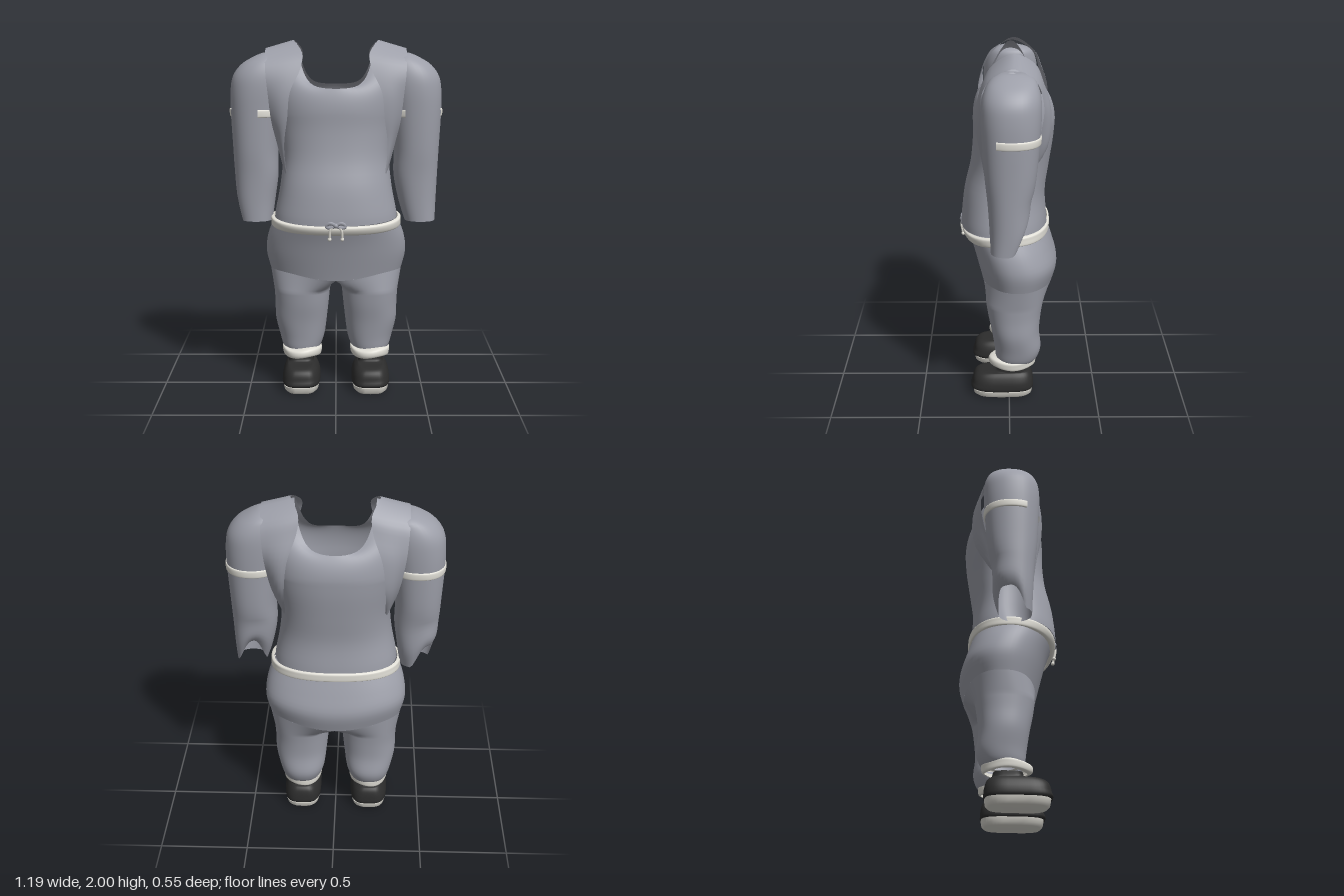
import * as THREE from 'three';

const mat = (name, color) => Object.assign(
  new THREE.MeshStandardMaterial({ color, side: THREE.DoubleSide }), { name });

// Smooth surface from a point rule; u runs around, v runs upward
function surface(fn, nu, nv, closed = true) {
  const pos = [], idx = [], cols = closed ? nu : nu + 1;
  for (let j = 0; j <= nv; j++)
    for (let i = 0; i < cols; i++) pos.push(...fn(i / nu, j / nv));
  for (let j = 0; j < nv; j++)
    for (let i = 0; i < nu; i++) {
      const k = (i + 1) % cols;
      const a = j * cols + i, b = j * cols + k, c = a + cols, d = b + cols;
      idx.push(a, b, d, a, d, c);
    }
  const g = new THREE.BufferGeometry();
  g.setAttribute('position', new THREE.Float32BufferAttribute(pos, 3));
  g.setIndex(idx);
  g.computeVertexNormals();
  return g;
}

// Smooth blend through a list of number rows
function along(rows, t) {
  const f = t * (rows.length - 1), i = Math.min(Math.floor(f), rows.length - 2), w = f - i;
  const at = k => rows[Math.max(0, Math.min(rows.length - 1, k))];
  return rows[0].map((_, c) => {
    const [a, b, d, e] = [at(i - 1)[c], at(i)[c], at(i + 1)[c], at(i + 2)[c]];
    return b + 0.5 * w * (d - a + w * (2 * a - 5 * b + 4 * d - e + w * (3 * (b - d) + e - a)));
  });
}

// Point on a rounded cross-section [y, xMin, xMax, zBack, zFront]; angle 0 is the front
function ringPoint([y, x0, x1, zb, zf], a, n = 2) {
  const round = v => Math.sign(v) * Math.abs(v) ** (2 / n);
  return [(x0 + x1) / 2 + (x1 - x0) / 2 * round(Math.sin(a)), y,
    (zb + zf) / 2 + (zf - zb) / 2 * round(Math.cos(a))];
}

// Tube through cross-sections, optionally over part of the turn, with a height rule
function loft(rows, { n = 2, steps = 4, seg = 40, from = 0, to = Math.PI * 2, lift } = {}) {
  return surface((u, v) => {
    const a = from + (to - from) * u, p = ringPoint(along(rows, v), a, n);
    if (lift) p[1] += lift(a, v);
    return p;
  }, seg, (rows.length - 1) * steps, to - from > 6.28);
}

const sided = (rows, s) => rows.map(([y, a, b, zb, zf]) => s > 0 ? [y, a, b, zb, zf] : [y, -b, -a, zb, zf]);

export function createModel() {
  const model = new THREE.Group();
  const cloth = mat('grey cloth', 0x9d9fa9);
  const trim = mat('off white trim', 0xe2e0d8);
  const dark = mat('black shoe', 0x2d2d2d);
  const add = (name, geo, m) => {
    const mesh = new THREE.Mesh(geo, m);
    mesh.name = name;
    model.add(mesh);
    return mesh;
  };

  // Shirt body, curving in from the chest to a scooped neckline with raised shoulders
  const body = [
    [1.0, -0.345, 0.345, -0.21, 0.27], [1.06, -0.338, 0.338, -0.208, 0.267],
    [1.2, -0.312, 0.312, -0.2, 0.25], [1.35, -0.3, 0.3, -0.22, 0.215],
    [1.5, -0.32, 0.32, -0.242, 0.2], [1.6, -0.342, 0.342, -0.25, 0.2]];
  const neck = a => {
    const s = Math.abs(Math.sin(a)), c = Math.cos(a);
    return [0.215 * Math.sin(a), 1.74 + 0.03 * s * s + 0.21 * s ** 6, -0.01 + c * (c > 0 ? 0.185 : 0.195)];
  };
  add('shirtBody', surface((u, v) => {
    const a = u * Math.PI * 2, s = Math.sin(a), c = Math.cos(a);
    if (v <= 0.6) {
      const p = ringPoint(along(body, v / 0.6), a, 2.3);
      p[1] += 0.015 * s * s * Math.max(0, 1 - v * 6);
      return p;
    }
    const t = (v - 0.6) / 0.4, p = ringPoint(body[5], a, 2.3), q = neck(a);
    const m = [0.4 * s, 1.68 + 0.26 * s * s, c > 0 ? 0.2 * c : 0.25 * c];
    return p.map((k, i) => k * (1 - t) ** 2 + 2 * m[i] * t * (1 - t) + q[i] * t * t);
  }, 64, 30), cloth);

  // Trousers seat and hips
  const hips = [
    [0.7, -0.377, 0.377, -0.245, 0.152], [0.8, -0.4, 0.4, -0.272, 0.18],
    [0.9, -0.388, 0.388, -0.245, 0.21], [0.99, -0.355, 0.355, -0.212, 0.245]];
  const dip = a => -0.04 * Math.abs(Math.cos(a)) ** 6;
  add('trouserHips', loft(hips, { n: 2.2, seg: 64, lift: (a, v) => dip(a) * (1 - v) }), cloth);

  // Waistband, dipping at the front and thinner at the sides
  add('waistband', loft([
    [0.968, -0.358, 0.358, -0.216, 0.235], [0.974, -0.367, 0.367, -0.224, 0.25],
    [0.998, -0.368, 0.368, -0.226, 0.264], [1.016, -0.366, 0.366, -0.225, 0.264],
    [1.022, -0.35, 0.35, -0.215, 0.25]],
  { n: 2.4, seg: 56, lift: a => -0.028 * Math.max(0, Math.cos(a)) + 0.006 * Math.max(0, -Math.cos(a)) }), trim);

  // Drawstring knot
  const knot = add('drawstringKnot', new THREE.SphereGeometry(0.014, 12, 8), cloth);
  knot.position.set(0, 1.002, 0.268);

  const legRows = [
    [0.21, 0.1, 0.295, -0.14, 0.07], [0.24, 0.085, 0.312, -0.163, 0.078],
    [0.3, 0.066, 0.328, -0.18, 0.085], [0.4, 0.053, 0.35, -0.17, 0.1],
    [0.5, 0.042, 0.352, -0.178, 0.12], [0.58, 0.034, 0.357, -0.19, 0.132]];

  for (const s of [1, -1]) {
    const side = s > 0 ? 'left' : 'right';
    const tube = (pts, r) => new THREE.TubeGeometry(new THREE.CatmullRomCurve3(
      pts.map(([x, y, z]) => new THREE.Vector3(s * x, y, z))), 16, r, 7);

    // Drawstring loop, cord and tip
    add(side + 'DrawstringLoop', tube(
      [[0, 1.002, 0.264], [0.03, 1.016, 0.266], [0.054, 0.998, 0.26], [0.035, 0.99, 0.264], [0, 1.0, 0.264]], 0.011), cloth);
    add(side + 'DrawstringCord', tube([[0.01, 1, 0.265], [0.03, 0.98, 0.27], [0.035, 0.93, 0.262]], 0.007), trim);
    const tip = add(side + 'DrawstringTip', new THREE.SphereGeometry(0.011, 10, 8), trim);
    tip.position.set(s * 0.035, 0.925, 0.261);

    // Sleeve with a broad rounded shoulder and a cuff torn at the back
    const sleeve = s > 0
      ? [[0.99, 0.39, 0.56, -0.06, 0.1], [1.1, 0.355, 0.565, -0.1, 0.105]]
      : [[0.99, 0.36, 0.54, -0.08, 0.1], [1.1, 0.345, 0.563, -0.11, 0.105]];
    sleeve.push([1.25, 0.325, 0.571, -0.115, 0.115], [1.4, 0.325, 0.578, -0.14, 0.13],
      [1.6, 0.305, 0.588, -0.157, 0.143], [1.72, 0.285, 0.587, -0.164, 0.148],
      [1.8, 0.275, 0.572, -0.162, 0.142], [1.86, 0.275, 0.528, -0.148, 0.122],
      [1.9, 0.285, 0.465, -0.125, 0.092], [1.922, 0.32, 0.415, -0.075, 0.05], [1.926, 0.36, 0.39, -0.03, 0.01]);
    const tear = (a, v) => Math.max(0, 1 - v * 4) * (s > 0
      ? 0.15 * Math.max(0, Math.cos(a - 3.3)) ** 3
      : 0.13 * THREE.MathUtils.smoothstep(Math.cos(a - 4.1), 0.3, 0.95));
    add(side + 'Sleeve', loft(sided(sleeve, s), { n: 2.2, lift: tear }), cloth);

    // Pale band around the outer and back of the upper arm
    add(side + 'SleeveBand', loft(sided([
      [1.578, 0.307, 0.585, -0.155, 0.14], [1.584, 0.3, 0.593, -0.162, 0.148],
      [1.616, 0.3, 0.594, -0.164, 0.149], [1.622, 0.303, 0.586, -0.156, 0.142]], s),
    { n: 2.2, from: s > 0 ? 1.1 : 0.1, to: s > 0 ? 5.85 : 5.18 }), trim);

    // Shoulder panel folded over from chest to back: inner edge, then outer edge
    const panel = [
      [0.27, 1.25, 0.12, 0.285, 1.25, 0.06], [0.285, 1.42, 0.145, 0.325, 1.42, 0.08],
      [0.265, 1.58, 0.175, 0.355, 1.56, 0.125], [0.25, 1.72, 0.175, 0.37, 1.7, 0.148],
      [0.195, 1.84, 0.14, 0.382, 1.81, 0.145], [0.185, 1.93, 0.085, 0.388, 1.895, 0.095],
      [0.235, 1.995, -0.025, 0.39, 1.95, -0.02], [0.19, 1.935, -0.135, 0.388, 1.89, -0.13],
      [0.2, 1.84, -0.18, 0.382, 1.8, -0.17], [0.25, 1.7, -0.22, 0.37, 1.68, -0.175],
      [0.27, 1.5, -0.2, 0.34, 1.5, -0.13], [0.27, 1.3, -0.07, 0.285, 1.3, -0.03]];
    add(side + 'ShoulderPanel', surface((u, v) => {
      const p = along(panel, v), bulge = 0.02 * Math.sin(u * Math.PI);
      const q = [0, 1, 2].map(i => p[i] * (1 - u) + p[i + 3] * u);
      return [s * q[0], q[1], q[2] + bulge * (1 - 2 * v)];
    }, 6, 44, false), cloth);

    // Trouser leg, spreading at the top to meet the hips and the crotch line
    add(side + 'TrouserLeg', surface((u, v) => {
      const outer = u <= 0.65, w = outer ? u / 0.65 : (u - 0.65) / 0.35;
      const a = outer ? -0.6 + (Math.PI + 1.2) * w : Math.PI + 0.6 + (Math.PI - 1.2) * w;
      const p = ringPoint(along(legRows, Math.min(1, v / 0.75)), a, 2.2);
      if (v > 0.75) {
        const t = (v - 0.75) / 0.25, q = ringPoint(hips[0], outer ? Math.PI * w : 0, 2.2);
        if (outer) q[1] += dip(Math.PI * w);
        else {
          q[1] += dip(0);
          q[2] = hips[0][3] + (hips[0][4] - hips[0][3]) * w;
        }
        p.forEach((k, i) => { p[i] = k + (q[i] - k) * t; });
      }
      return [s * p[0], p[1], p[2]];
    }, 60, 28), cloth);

    // Gathered cuff
    add(side + 'TrouserCuff', loft(sided([
      [0.184, 0.1, 0.295, -0.135, 0.09], [0.188, 0.088, 0.307, -0.148, 0.113],
      [0.21, 0.083, 0.311, -0.152, 0.12], [0.23, 0.084, 0.311, -0.152, 0.11],
      [0.238, 0.1, 0.295, -0.14, 0.07]], s), { lift: a => 0.005 * Math.sin(3 * a) }), trim);

    // Shoe upper with a dark inner rim and an open collar
    add(side + 'ShoeUpper', loft(sided([
      [0.048, 0.14, 0.26, -0.07, 0.05], [0.044, 0.096, 0.304, -0.133, 0.208],
      [0.085, 0.092, 0.308, -0.138, 0.212], [0.125, 0.105, 0.295, -0.13, 0.2],
      [0.147, 0.124, 0.28, -0.115, 0.165], [0.153, 0.13, 0.274, -0.1, 0.08],
      [0.18, 0.13, 0.274, -0.092, 0.066]], s), { n: 3.3 }), dark);

    // Sole, closed underneath, and insole
    add(side + 'ShoeSole', loft(sided([
      [0, 0.1999, 0.2001, 0.0349, 0.0351], [0, 0.115, 0.285, -0.115, 0.19],
      [0.015, 0.1, 0.3, -0.13, 0.206], [0.042, 0.094, 0.306, -0.135, 0.21]], s), { n: 3.3, steps: 1 }), trim);
    const insole = add(side + 'Insole', new THREE.CircleGeometry(0.066, 24), trim);
    insole.rotation.x = -Math.PI / 2;
    insole.position.set(s * 0.2, 0.053, -0.012);
  }
  return model;
}
